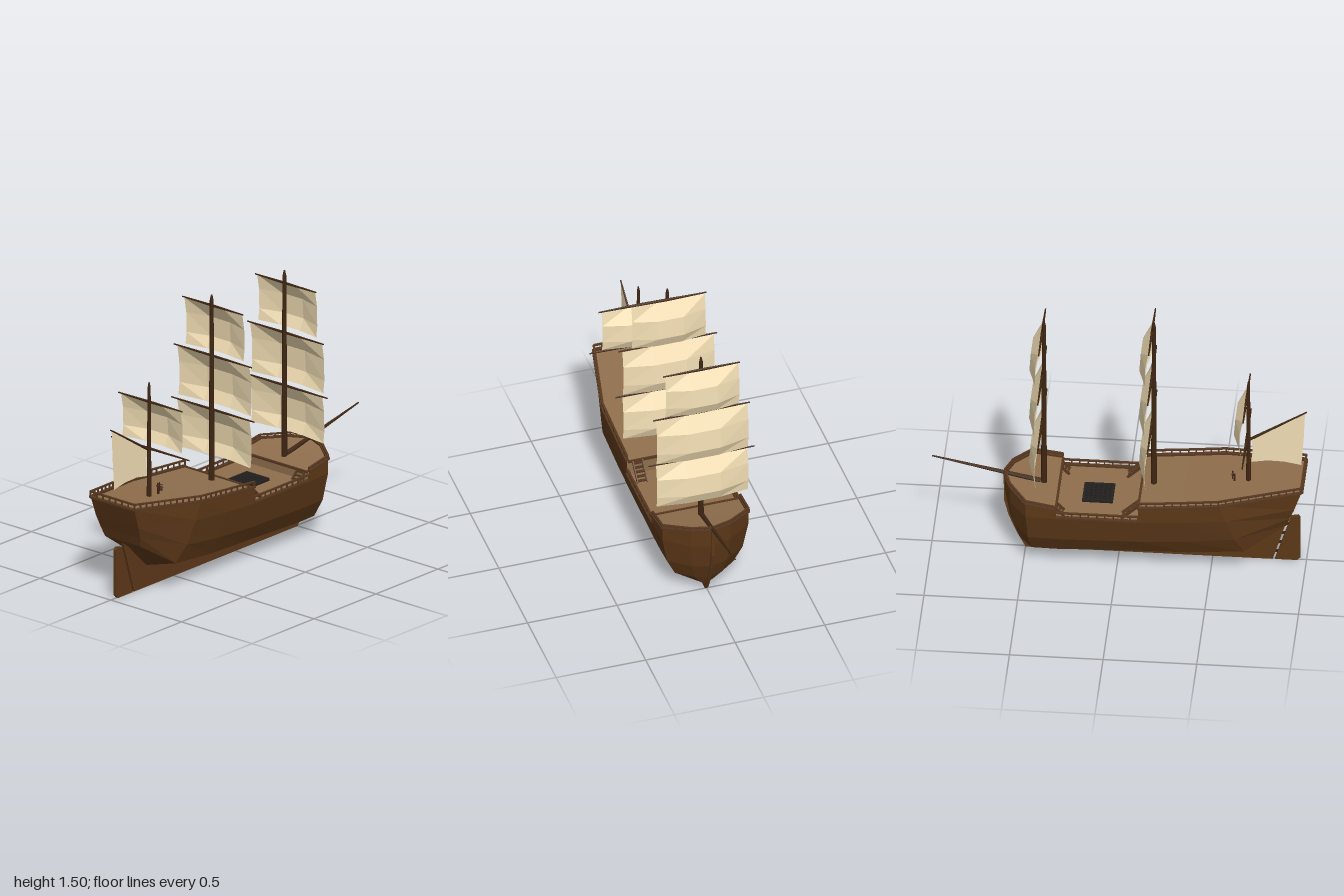
import * as THREE from 'three';
import { mergeGeometries } from 'three/addons/utils/BufferGeometryUtils.js';

const V = (x, y, z) => new THREE.Vector3(x, y, z);
const lerp = THREE.MathUtils.lerp;
const paint = (color) => new THREE.MeshStandardMaterial({ color, flatShading: true, side: THREE.DoubleSide });

// Surface through rows of points
function loft(rows) {
  const n = rows[0].length, index = [];
  for (let i = 0; i < rows.length - 1; i++) {
    for (let j = 0; j < n - 1; j++) {
      const a = i * n + j;
      index.push(a, a + 1, a + n + 1, a, a + n + 1, a + n);
    }
  }
  const g = new THREE.BufferGeometry().setFromPoints(rows.flat());
  g.setIndex(index);
  g.computeVertexNormals();
  return g;
}

// Square bar between two points
function bar(a, b, w, h = w) {
  const o = new THREE.Object3D();
  o.position.copy(a).lerp(b, 0.5);
  o.lookAt(b);
  o.updateMatrix();
  return new THREE.BoxGeometry(w, h, a.distanceTo(b)).applyMatrix4(o.matrix);
}

// Tapered round spar between two points
function spar(a, b, r0, r1, sides = 8) {
  const d = b.clone().sub(a);
  const g = new THREE.CylinderGeometry(r1, r0, d.length(), sides);
  g.applyQuaternion(new THREE.Quaternion().setFromUnitVectors(V(0, 1, 0), d.normalize()));
  const m = a.clone().lerp(b, 0.5);
  return g.translate(m.x, m.y, m.z);
}

// Flat plate in the x-y plane, centred on z = 0
function plate(points, depth) {
  const shape = new THREE.Shape(points.map(([x, y]) => new THREE.Vector2(x, y)));
  return new THREE.ExtrudeGeometry(shape, { depth, bevelEnabled: false }).translate(0, 0, -depth / 2);
}

// Hull stations: deck x, keel x, half width, deck y, keel y, boxiness
const stations = [
  [-0.985, -0.90, 0.155, 0.545, 0.30, 1],
  [-0.55, -0.72, 0.245, 0.495, 0.12, 0.5],
  [-0.35, -0.40, 0.245, 0.475, 0.065, 0.2],
  [-0.12, -0.12, 0.245, 0.455, 0.04, 0],
  [-0.12, -0.12, 0.245, 0.37, 0.04, 0],
  [0.10, 0.10, 0.245, 0.37, 0.03, 0],
  [0.32, 0.32, 0.245, 0.37, 0.02, 0],
  [0.32, 0.32, 0.245, 0.42, 0.02, 0],
  [0.48, 0.44, 0.24, 0.445, 0.02, 0],
  [0.575, 0.49, 0.11, 0.463, 0.02, 0],
  [0.61, 0.505, 0.006, 0.47, 0.02, 0],
];

// One side of a station from deck edge down to keel
function halfSection([xT, xK, w, yT, yK, q]) {
  const wale = 0.36 + 0.07 * q;
  const lean = [[1, 1], [1, 0.55], [0.75, 0.27], [0.4, 0.05], [0, 0]];
  const rise = [[1, 1], [1, 1], [0.55, 0.5], [0.26, 0.06], [0, 0]];
  const width = [[1, 1], [1, 0.97], [0.88, 0.9], [0.68, 0.8], [0, 0]];
  return lean.map((l, k) => V(
    lerp(xK, xT, lerp(...l, q)),
    k === 0 ? yT : lerp(yK, wale, lerp(...rise[k], q)),
    w * lerp(...width[k], q)));
}
const mirrorZ = (p) => V(p.x, p.y, -p.z);

export function createModel() {
  const ship = new THREE.Group();
  ship.name = 'sailingShip';
  const hullMat = paint(0x5c3818), deckMat = paint(0x8f6f4d), sparMat = paint(0x3f2613);
  const railMat = paint(0x573820), sailMat = paint(0xf2deb4), ironMat = paint(0x24211f);
  const add = (name, geo, mat) => {
    const list = Array.isArray(geo) ? geo : [geo];
    const mesh = new THREE.Mesh(list.length > 1 ? mergeGeometries(list) : list[0], mat);
    mesh.name = name;
    ship.add(mesh);
    return mesh;
  };

  // Hull shell, transom, stepped decks
  const halves = stations.map(halfSection);
  add('hull', loft(halves.map((h) => [...h, ...h.slice(0, 4).reverse().map(mirrorZ)])), hullMat);
  add('transom', loft(halves[0].map((p) => [p, mirrorZ(p)])), hullMat);
  add('decks', loft(stations.map(([x, , w, y]) => [V(x, y - 0.008, -w), V(x, y - 0.008, w)])), deckMat);

  // Keel with stem, and rudder hung behind it
  add('keel', plate([[-0.908, 0.3], [-0.82, 0], [0.5, 0], [0.545, 0.09], [0.59, 0.2], [0.615, 0.3], [0.617, 0.48],
    [0.6, 0.48], [0.59, 0.3], [0.52, 0.13], [0.48, 0.04], [0, 0.05], [-0.4, 0.09], [-0.72, 0.15]], 0.018), hullMat);
  add('rudder', plate([[-0.918, 0.28], [-0.832, 0], [-0.95, 0], [-0.968, 0.02], [-0.968, 0.275], [-0.955, 0.288]], 0.018), hullMat);
  add('rudderHinges', [0.05, 0.11, 0.17, 0.23].map((y) => {
    const x = -0.826 - 0.31 * y;
    return bar(V(x - 0.015, y, 0), V(x + 0.015, y, 0), 0.012);
  }), sparMat);

  // Rails: edge cap, posts and handrail along each deck
  const rails = [];
  const fence = (a, b, height) => {
    const up = V(0, height, 0), n = Math.max(1, Math.round(a.distanceTo(b) / 0.042));
    rails.push(bar(a, b, 0.02, 0.01), bar(a.clone().add(up), b.clone().add(up), 0.012, 0.008));
    for (let i = 0; i <= n; i++) {
      const p = a.clone().lerp(b, i / n);
      rails.push(bar(p, p.clone().add(up), 0.007));
    }
  };
  for (let i = 0; i < halves.length - 1; i++) {
    if (i === 3 || i === 6) continue;
    const a = halves[i][0], b = halves[i + 1][0], height = i > 6 ? 0.018 : 0.03;
    fence(a, b, height);
    fence(mirrorZ(a), mirrorZ(b), height);
  }
  fence(halves[0][0], mirrorZ(halves[0][0]), 0.03);
  add('rails', rails, railMat);

  // Deck-edge beams at the two breaks
  add('breakBeams', [bar(V(-0.12, 0.447, -0.24), V(-0.12, 0.447, 0.24), 0.012),
    bar(V(0.32, 0.412, -0.24), V(0.32, 0.412, 0.24), 0.012)], railMat);

  // Stairs up from the waist, two at each end
  const steps = [];
  const stairs = (x0, x1, yTop, n, z) => {
    for (let i = 0; i < n; i++) {
      const t = (i + 0.5) / n, y = lerp(yTop, 0.362, t);
      steps.push(new THREE.BoxGeometry(Math.abs(x1 - x0) / n * 0.8, 0.008, 0.05).translate(lerp(x0, x1, t), y, z));
    }
    for (const s of [-0.027, 0.027]) steps.push(bar(V(x0, yTop, z + s), V(x1, 0.364, z + s), 0.006, 0.014));
  };
  for (const z of [-0.188, 0.188]) {
    stairs(-0.118, -0.03, 0.447, 5, z);
    stairs(0.325, 0.28, 0.41, 3, z);
  }
  add('stairs', steps, railMat);

  // Cargo hatch: frame and crossed bars
  const hatch = [];
  for (let i = 0; i <= 6; i++) {
    const t = -0.075 + i * 0.025, w = i % 6 === 0 ? 0.014 : 0.006;
    hatch.push(bar(V(0.11 + t, 0.37, -0.08), V(0.11 + t, 0.37, 0.08), w, 0.014));
    hatch.push(bar(V(0.03, 0.37, t), V(0.19, 0.37, t), w, 0.014));
  }
  add('hatchGrating', hatch, ironMat);

  // Steering wheel on its stand
  const wheel = [new THREE.TorusGeometry(0.018, 0.003, 6, 12).rotateY(Math.PI / 2).translate(-0.605, 0.532, 0),
    bar(V(-0.615, 0.49, 0), V(-0.615, 0.535, 0), 0.01), bar(V(-0.62, 0.532, 0), V(-0.6, 0.532, 0), 0.008)];
  for (let k = 0; k < 4; k++) {
    const c = Math.cos(k * Math.PI / 4) * 0.026, s = Math.sin(k * Math.PI / 4) * 0.026;
    wheel.push(bar(V(-0.605, 0.532 - c, -s), V(-0.605, 0.532 + c, s), 0.003));
  }
  add('steeringWheel', wheel, sparMat);

  // Square sail, bellied forward
  const squareSail = (x, top, bottom, half) => {
    const g = new THREE.PlaneGeometry(1, 1, 3, 3), p = g.attributes.position;
    const belly = [0, 0.05, 0.058, 0.03], drop = [0, 0.33, 0.76, 1], across = [1, 0.35, -0.35, -1];
    for (let i = 0; i < 16; i++) {
      const r = Math.floor(i / 4), c = i % 4, edge = c % 3 === 0 ? 0.3 : 1;
      p.setXYZ(i, x + 0.014 + belly[r] * edge, lerp(top, bottom, drop[r]), half * across[c]);
    }
    g.computeVertexNormals();
    add('squareSail', g, sailMat);
  };

  // Masts: x, foot, top, radius, yards [y, half length], sails [top, bottom, half width]
  const masts = [
    ['mizzenMast', -0.69, 0.49, 1.15, 0.013, [[1.035, 0.225], [0.77, 0.275]], [[1.03, 0.79, 0.21]]],
    ['mainMast', -0.185, 0.44, 1.505, 0.016, [[1.44, 0.215], [1.155, 0.275], [0.85, 0.292]],
      [[1.435, 1.17, 0.205], [1.15, 0.87, 0.255], [0.845, 0.575, 0.255]]],
    ['foreMast', 0.402, 0.42, 1.478, 0.016, [[1.402, 0.215], [1.12, 0.27], [0.82, 0.295]],
      [[1.4, 1.14, 0.205], [1.118, 0.835, 0.255], [0.818, 0.55, 0.255]]],
  ];
  for (const [name, x, y0, y1, r, yards, sails] of masts) {
    add(name, [spar(V(x, y0, 0), V(x, y1 - 0.03, 0), r, r * 0.65),
      spar(V(x, y1 - 0.03, 0), V(x, y1, 0), r * 0.65, r * 0.25)], sparMat);
    for (const [y, half] of yards) {
      add('yard', [-1, 1].map((s) => spar(V(x + 0.01, y, 0), V(x + 0.01, y, s * half), 0.008, 0.004, 6)), sparMat);
    }
    for (const [top, bottom, half] of sails) squareSail(x, top, bottom, half);
  }

  // Gaff with its fore-and-aft sail, and bowsprit
  add('gaff', spar(V(-0.685, 0.762, 0), V(-1, 0.965, 0), 0.008, 0.004, 6), sparMat);
  const spanker = new THREE.Shape([[-0.992, 0.957], [-0.985, 0.8], [-0.972, 0.618], [-0.88, 0.635], [-0.79, 0.637], [-0.705, 0.622],
    [-0.712, 0.7], [-0.705, 0.772]].map(([x, y]) => new THREE.Vector2(x, y)));
  add('gaffSail', new THREE.ShapeGeometry(spanker), sailMat);
  add('bowsprit', spar(V(0.42, 0.432, 0), V(1, 0.558, 0), 0.014, 0.004), sparMat);
  return ship;
}
